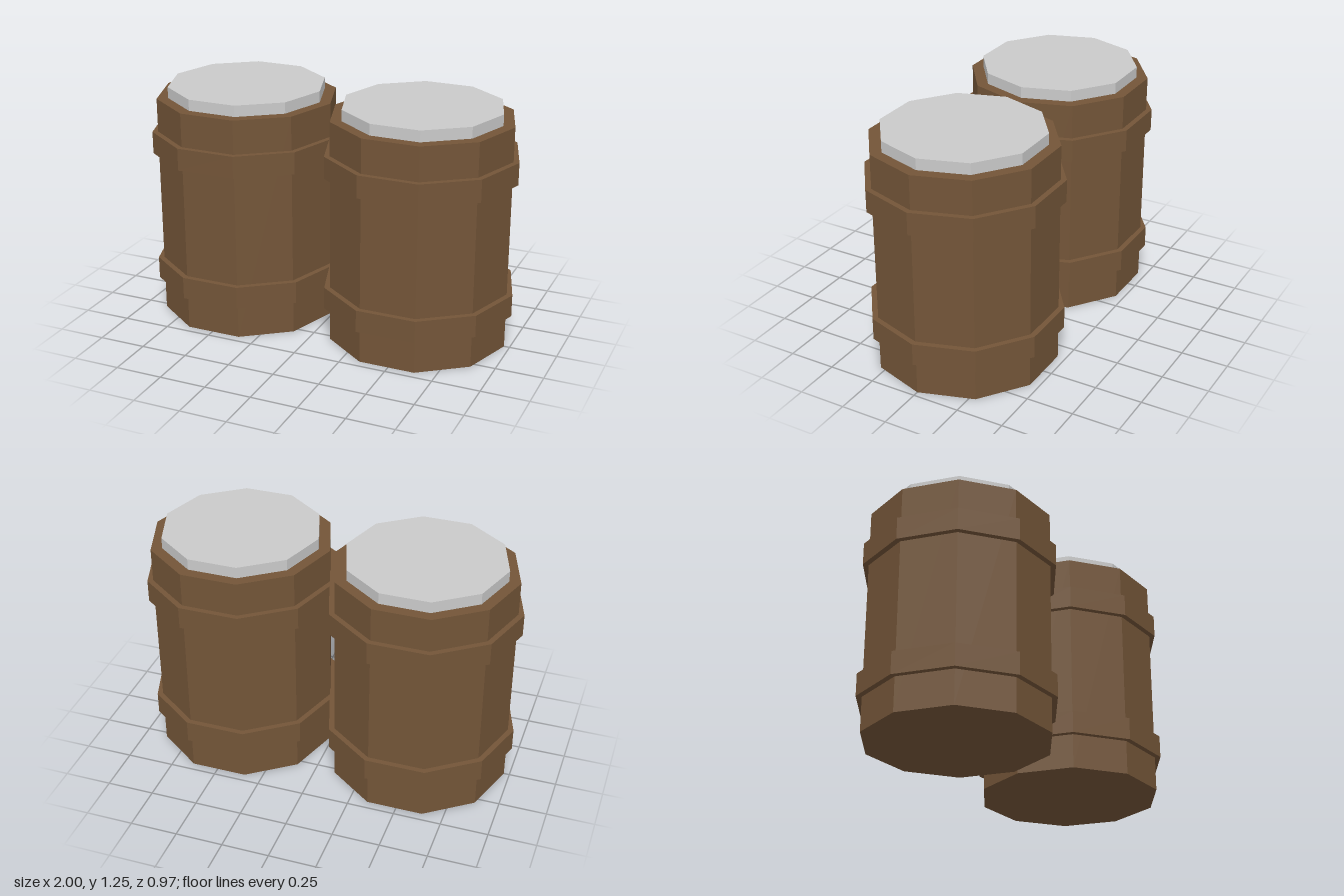
import * as THREE from 'three';

const SIDES = 10;

const wood = new THREE.MeshStandardMaterial({ color: 0x735538, flatShading: true });
wood.name = 'brown wood';
const metal = new THREE.MeshStandardMaterial({ color: 0xcacaca, flatShading: true });
metal.name = 'pale grey lid';

// Ten-sided drum between two heights, with corners on the x axis
function drum(name, radius, bottom, top, material) {
  const geometry = new THREE.CylinderGeometry(radius, radius, top - bottom, SIDES, 1, false, Math.PI / 2);
  geometry.translate(0, (bottom + top) / 2, 0);
  const mesh = new THREE.Mesh(geometry, material);
  mesh.name = name;
  return mesh;
}

function createBarrel(name) {
  const barrel = new THREE.Group();
  barrel.name = name;
  barrel.add(
    drum('body', 0.478, 0, 1.195, wood),
    drum('lowerHoop', 0.508, 0.18, 0.298, wood),
    drum('upperHoop', 0.508, 0.898, 1.016, wood),
    drum('lid', 0.418, 1.19, 1.254, metal),
  );
  return barrel;
}

export function createModel() {
  const model = new THREE.Group();
  model.name = 'barrelPair';
  // Two matching barrels side by side
  for (const [name, x] of [['leftBarrel', 0.492], ['rightBarrel', -0.492]]) {
    const barrel = createBarrel(name);
    barrel.position.x = x;
    model.add(barrel);
  }
  return model;
}
